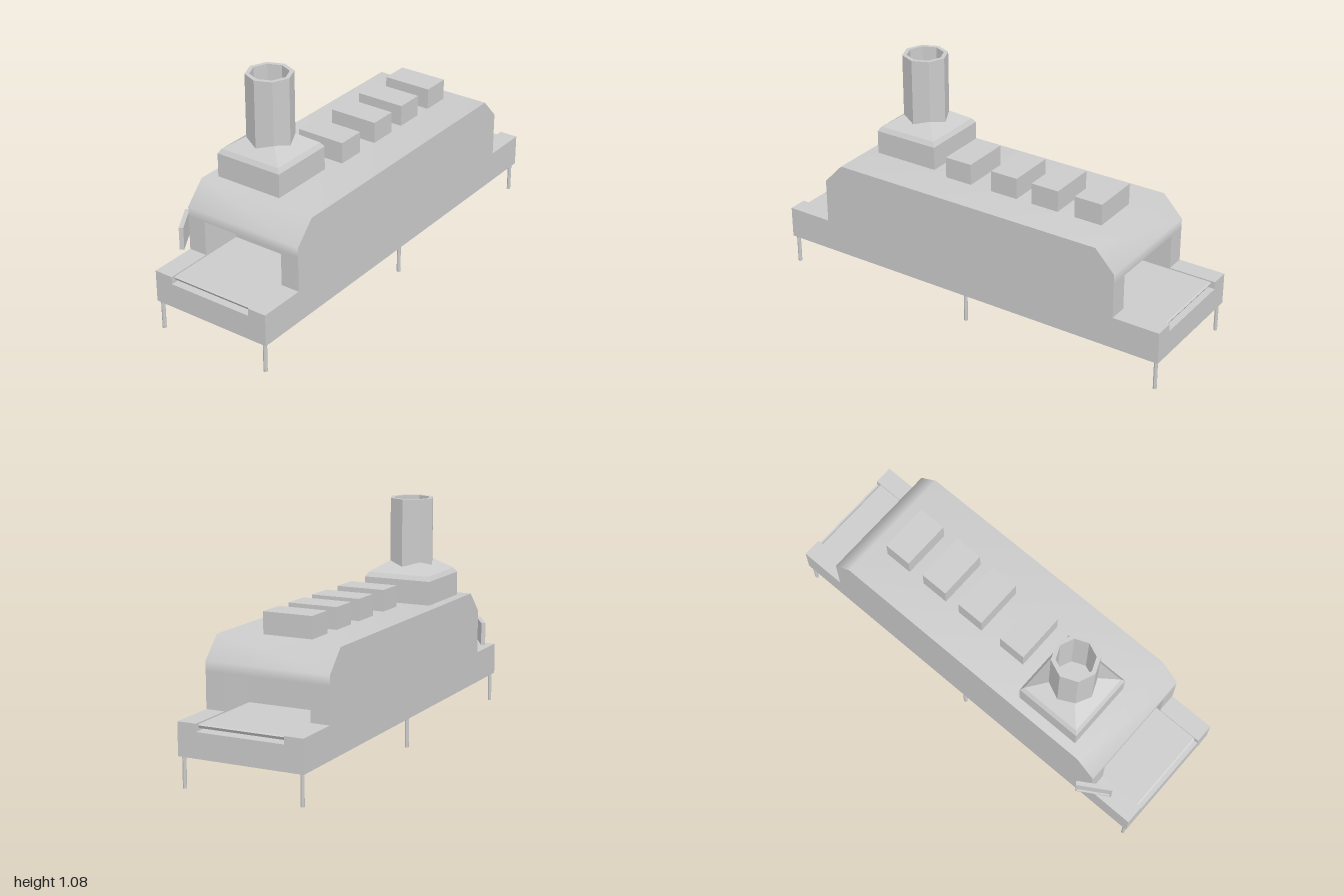
import * as THREE from 'three';

const L = -0.27, R = 0.325;          // body sides in x
const OL = -0.18, OR = 0.235;        // opening sides in x
const TRAY = 0.29, FLOOR = 0.255, TOP = 0.455, WALL = 0.775, INNER = 0.57;

const solid = new THREE.MeshStandardMaterial({ color: 0xcccccc, flatShading: true });
const sheet = new THREE.MeshStandardMaterial({ color: 0xcccccc, side: THREE.DoubleSide });

function add(parent, name, geometry, material = solid, x = 0, y = 0, z = 0) {
  const mesh = new THREE.Mesh(geometry, material);
  mesh.name = name;
  mesh.position.set(x, y, z);
  parent.add(mesh);
  return mesh;
}

const shape = (pts) => new THREE.Shape(pts.map(([a, b]) => new THREE.Vector2(a, b)));

// Bent sheet running from x0 to x1 along a [z, y] path, smooth across the bends
function strip(path, x0, x1) {
  const pos = [], idx = [];
  path.forEach(([z, y], i) => {
    pos.push(x0, y, z, x1, y, z);
    if (i) {
      const a = 2 * i - 2;
      idx.push(a, a + 2, a + 1, a + 1, a + 2, a + 3);
    }
  });
  const g = new THREE.BufferGeometry();
  g.setAttribute('position', new THREE.Float32BufferAttribute(pos, 3));
  g.setIndex(idx);
  g.computeVertexNormals();
  return g;
}

// Flat sheet in the z-y plane
function sideSheet(pts) {
  return new THREE.ShapeGeometry(shape(pts.map(([z, y]) => [-z, y]))).rotateY(Math.PI / 2);
}

// One end of the tunnel: wall, loading tray, recess and belt, built at +z
function buildEnd(name) {
  const end = new THREE.Group();
  end.name = name;

  add(end, 'endWall', new THREE.ShapeGeometry(shape([
    [L, TRAY], [OL, TRAY], [OL, TOP], [OR, TOP], [OR, TRAY], [R, TRAY], [R, TOP], [L, TOP],
  ])), sheet, 0, 0, WALL);
  add(end, 'trayFront', new THREE.ShapeGeometry(shape([
    [L, 0.14], [R, 0.14], [R, TRAY], [OR, TRAY], [OR, FLOOR], [OL, FLOOR], [OL, TRAY], [L, TRAY],
  ])), sheet, 0, 0, 1);
  for (const [a, b] of [[L, OL], [OR, R]])
    add(end, 'trayTop', strip([[1, TRAY], [WALL, TRAY]], a, b), sheet);

  // Recess behind the opening
  for (const x of [OL, OR])
    add(end, 'recessSide', sideSheet([
      [1, FLOOR], [INNER, FLOOR], [INNER, TOP], [WALL, TOP], [WALL, TRAY], [1, TRAY],
    ]), sheet, x);
  add(end, 'recessFloor', strip([[1, FLOOR], [INNER, FLOOR]], OL, OR), sheet);
  add(end, 'recessBack', strip([[INNER, FLOOR], [INNER, TOP]], OL, OR), sheet);
  add(end, 'recessCeiling', strip([[INNER, TOP], [WALL, TOP]], OL, OR), sheet);

  // Belt with a bevelled nose
  const belt = shape([[-INNER, 0.266], [-INNER, 0.284], [-0.975, 0.284], [-0.982, 0.279], [-0.975, 0.266]]);
  const beltGeometry = new THREE.ExtrudeGeometry(belt, { depth: OR - OL, bevelEnabled: false });
  add(end, 'belt', beltGeometry.rotateY(Math.PI / 2), solid, OL);
  return end;
}

export function createModel() {
  const model = new THREE.Group();
  model.name = 'tunnelOven';

  // Hollow body, open below
  const profile = [
    [1, 0.14], [1, TRAY], [WALL, TRAY], [WALL, 0.5], [0.68, 0.6],
    [-0.68, 0.6], [-WALL, 0.5], [-WALL, TRAY], [-1, TRAY], [-1, 0.14],
  ];
  for (const x of [L, R]) add(model, 'sidePanel', sideSheet(profile), sheet, x);
  add(model, 'roof', strip([
    [WALL, TOP], [WALL, 0.5], [0.68, 0.6], [-0.68, 0.6], [-WALL, 0.5], [-WALL, TOP],
  ], L, R), sheet);

  // Two matching ends; the back one is turned about the body's own centre line
  model.add(buildEnd('frontEnd'));
  const back = buildEnd('backEnd');
  back.rotation.y = Math.PI;
  back.position.x = L + R;
  model.add(back);

  // Roof boxes
  for (const z of [-0.533, -0.312, -0.098, 0.148])
    add(model, 'roofBox', new THREE.BoxGeometry(0.237, 0.1, 0.136), solid, 0.024, 0.65, z);

  // Chimney: square hood and hollow octagonal stack
  const chimney = new THREE.Group();
  chimney.name = 'chimney';
  chimney.position.set(-0.054, 0, 0.465);
  model.add(chimney);
  const hood = [[0.167, 0.6], [0.167, 0.712], [0.153, 0.733], [0.075, 0.785], [0, 0.785]]
    .map(([r, y]) => new THREE.Vector2(r * Math.SQRT2, y));
  const hoodGeometry = new THREE.LatheGeometry(hood, 4).rotateY(Math.PI / 4).scale(1, 1, 0.965);
  add(chimney, 'hood', hoodGeometry);
  const stack = [[0.106, 0.74], [0.106, 1.08], [0.086, 1.08], [0.086, 0.786], [0, 0.786]]
    .map(([r, y]) => new THREE.Vector2(r, y));
  add(chimney, 'stack', new THREE.LatheGeometry(stack, 8));

  // Control panel standing at an angle beside the front opening
  const panel = new THREE.Group();
  panel.name = 'controlPanel';
  panel.position.set(-0.279, 0.396, 0.797);
  panel.rotation.y = -Math.atan2(0.14, 0.085);
  model.add(panel);
  const w = 0.083, h = 0.054, t = 0.01;
  const frame = shape([[-w, -h], [w, -h], [w, h], [-w, h]]);
  frame.holes.push(new THREE.Path(
    [[t - w, t - h], [t - w, h - t], [w - t, h - t], [w - t, t - h]].map((p) => new THREE.Vector2(...p))));
  add(panel, 'panelFrame', new THREE.ExtrudeGeometry(frame, { depth: 0.008, bevelEnabled: false }));
  add(panel, 'panelBack', new THREE.BoxGeometry(2 * w, 2 * h, 0.012), solid, 0, 0, -0.006);

  // Legs
  for (const x of [-0.254, 0.306])
    for (const z of [-0.982, 0, 0.982])
      add(model, 'leg', new THREE.CylinderGeometry(0.009, 0.009, 0.15, 8), solid, x, 0.075, z);

  return model;
}
